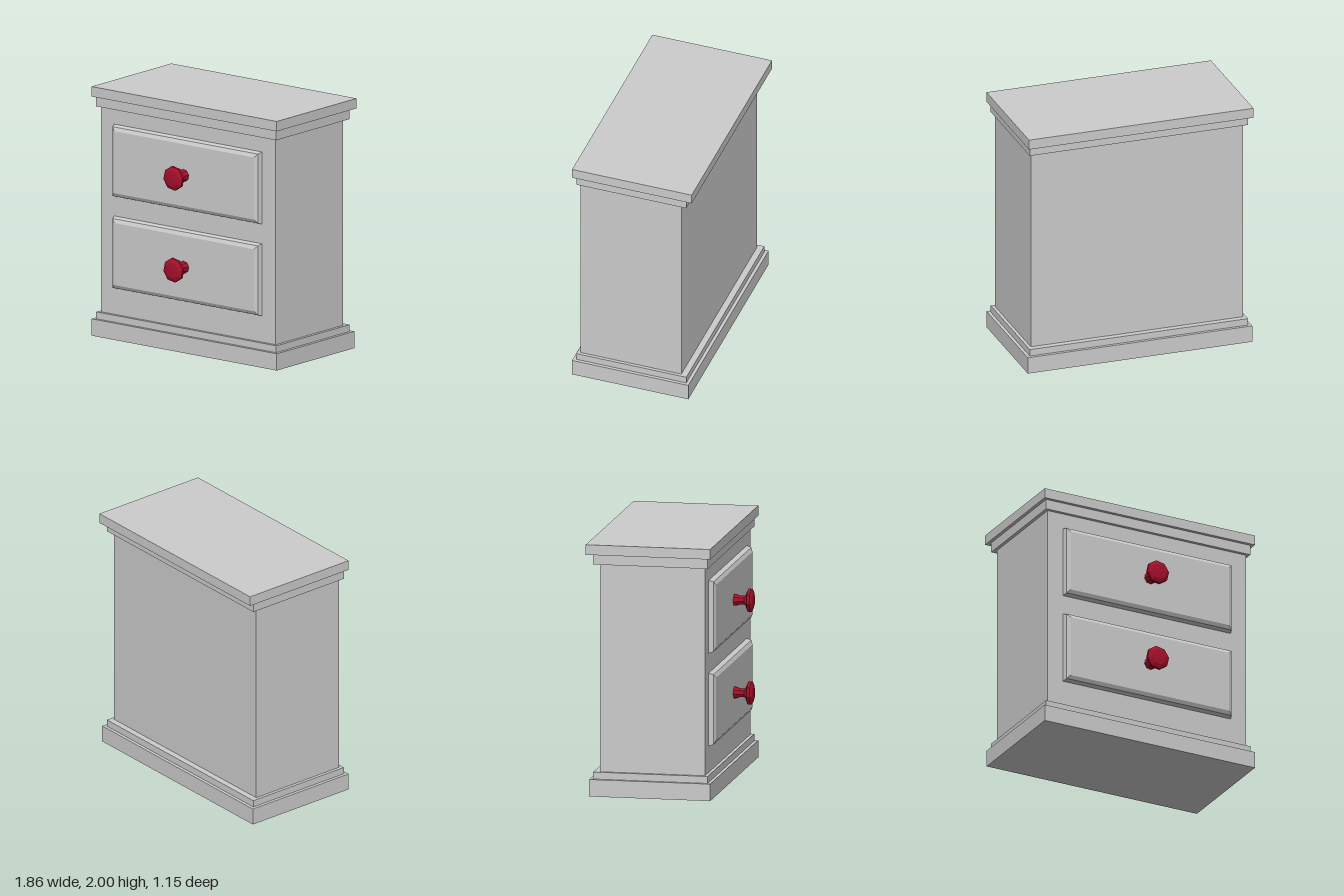
import * as THREE from 'three';

const grey = new THREE.MeshStandardMaterial({ color: 0xcccccc, flatShading: true });
const red = new THREE.MeshStandardMaterial({ color: 0xa80f2a, flatShading: true });

// Box given by half width, bottom/top and back/front limits
function slab(name, halfWidth, y0, y1, z0, z1) {
  const mesh = new THREE.Mesh(new THREE.BoxGeometry(halfWidth * 2, y1 - y0, z1 - z0), grey);
  mesh.position.set(0, (y0 + y1) / 2, (z0 + z1) / 2);
  mesh.name = name;
  return mesh;
}

// Drawer front with a rounded bevel; its rear bevel is buried in the body
function drawerFront(halfWidth, halfHeight) {
  const shape = new THREE.Shape([
    new THREE.Vector2(-halfWidth, -halfHeight),
    new THREE.Vector2(halfWidth, -halfHeight),
    new THREE.Vector2(halfWidth, halfHeight),
    new THREE.Vector2(-halfWidth, halfHeight),
  ]);
  const depth = 0.02;
  const geometry = new THREE.ExtrudeGeometry(shape, {
    depth, bevelEnabled: true, bevelThickness: 0.053, bevelSize: 0.041,
    bevelOffset: -0.041, bevelSegments: 2,
  });
  geometry.translate(0, 0, -depth);
  const mesh = new THREE.Mesh(geometry, grey);
  mesh.name = 'drawerFront';
  return mesh;
}

// Eight-sided turned knob: [radius, distance from the body face]
function drawerKnob() {
  const profile = [
    [0.05, 0.04], [0.049, 0.065], [0.038, 0.095], [0.036, 0.135], [0.045, 0.145],
    [0.075, 0.16], [0.097, 0.168], [0.097, 0.19], [0.065, 0.205], [0, 0.209],
  ].map(([r, d]) => new THREE.Vector2(r, d));
  const geometry = new THREE.LatheGeometry(profile, 8, THREE.MathUtils.degToRad(10));
  geometry.rotateX(Math.PI / 2);
  const mesh = new THREE.Mesh(geometry, red);
  mesh.name = 'drawerKnob';
  return mesh;
}

export function createModel() {
  const model = new THREE.Group();
  model.name = 'nightstand';
  const faceZ = 0.366;

  // Carcass with stepped base and top
  model.add(
    slab('plinth', 0.93, 0, 0.135, -0.546, 0.418),
    slab('lowerMoulding', 0.904, 0.135, 0.19, -0.52, 0.392),
    slab('body', 0.878, 0.19, 1.84, -0.47, faceZ),
    slab('upperMoulding', 0.904, 1.84, 1.92, -0.52, 0.392),
    slab('top', 0.93, 1.92, 2, -0.574, 0.418),
  );

  // Two drawers, each with a knob
  for (const [name, y] of [['lowerDrawer', 0.69], ['upperDrawer', 1.427]]) {
    const drawer = new THREE.Group();
    drawer.name = name;
    drawer.add(drawerFront(0.742, 0.29), drawerKnob());
    drawer.position.set(0, y, faceZ);
    model.add(drawer);
  }
  return model;
}
